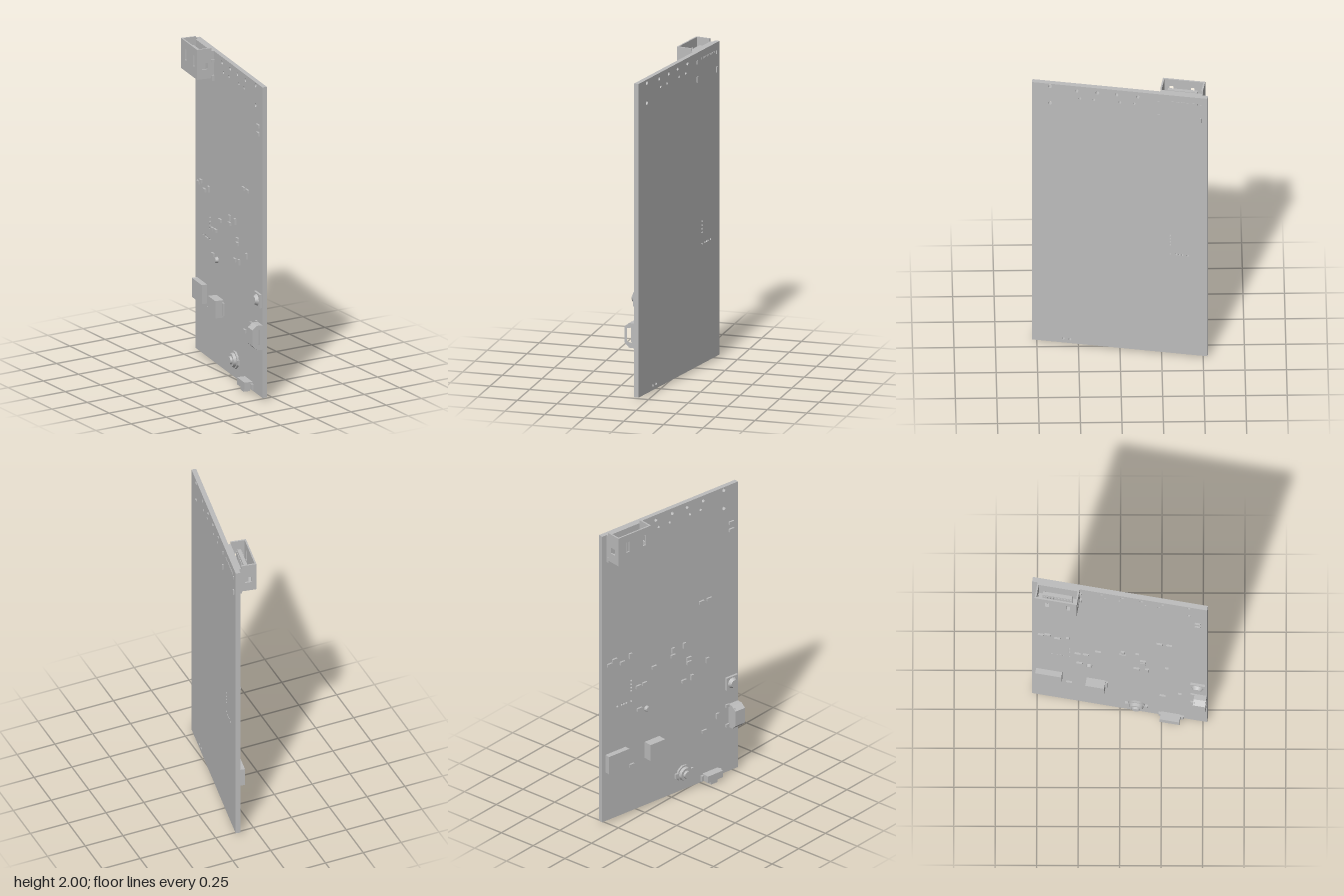
import * as THREE from 'three';

export function createModel() {
  const grey = new THREE.MeshStandardMaterial({ color: 0xbdbdbd });
  grey.name = 'plain grey';
  const model = new THREE.Group();
  model.name = 'circuitBoardAssembly';
  // Everything is laid out in board space: x = thickness, z = width; the board then turns about y.
  const board = new THREE.Group();
  board.name = 'circuitBoard';
  board.rotation.y = -0.172;
  model.add(board);
  const BACK = 0.0085, FRONT = 0.038, EDGE = -0.54;

  const add = (name, geo, parent = board) => {
    const m = new THREE.Mesh(geo, grey);
    m.name = name;
    parent.add(m);
    return m;
  };
  const group = (name) => {
    const g = new THREE.Group();
    g.name = name;
    board.add(g);
    return g;
  };
  // Box given by its limits
  const box = (name, x0, x1, y0, y1, z0, z1, parent) =>
    add(name, new THREE.BoxGeometry(x1 - x0, y1 - y0, z1 - z0)
      .translate((x0 + x1) / 2, (y0 + y1) / 2, (z0 + z1) / 2), parent);
  const ring = (z, y, r) => {
    const p = new THREE.Path();
    p.absarc(-z, y, r, 0, Math.PI * 2, true);
    return p;
  };
  const rect = (z0, z1, y0, y1, Kind = THREE.Path) =>
    new Kind([[-z1, y0], [-z0, y0], [-z0, y1], [-z1, y1]].map((p) => new THREE.Vector2(...p)));
  // Upright plate parallel to the board
  const plate = (shape, x0, x1) =>
    new THREE.ExtrudeGeometry(shape, { depth: x1 - x0, bevelEnabled: false, curveSegments: 6 })
      .rotateY(Math.PI / 2).translate(x0, 0, 0);
  // Cylinder standing out from the component side
  const stud = (name, z, y, r0, r1, x0, x1, sides, parent) =>
    add(name, new THREE.CylinderGeometry(r1, r0, x1 - x0, sides).toNonIndexed()
      .rotateZ(Math.PI / 2).translate(-(x0 + x1) / 2 + BACK, y, z), parent);

  // Board with drilled holes
  const outline = rect(EDGE, 0.5315, 0.015, 1.98, THREE.Shape);
  const drill = (zs, y, r) => zs.forEach((z) => outline.holes.push(ring((z - 0.0065) / 0.985, y, r)));
  drill([0.42], 1.96, 0.013);
  drill([0.42], 1.835, 0.013);
  drill([0.26, 0.135, 0.02, -0.108], 1.945, 0.012);
  drill([0.24, 0.157, 0, -0.086], 1.89, 0.009);
  drill([0.34, 0.3], 0.045, 0.009);
  for (const y of [0.91, 0.885, 0.862, 0.84]) drill([-0.3], y, 0.007);
  drill([-0.3, -0.337, -0.356, -0.374, -0.407], 0.77, 0.007);
  add('board', plate(outline, BACK, FRONT));

  // Open-topped socket at the top edge
  const socket = group('edgeSocket');
  const z0 = -0.505, z1 = -0.247, xo = -0.101, y0 = 1.81, y1 = 2;
  const outer = rect(z0, z1, y0, y1, THREE.Shape);
  for (const z of [-0.43, -0.3]) outer.holes.push(rect(z - 0.012, z + 0.012, 1.88, 1.95));
  add('socketOuterWall', plate(outer, xo, xo + 0.01), socket);
  box('socketInnerWall', -0.006, BACK, y0, 1.98, z0, z1, socket);
  for (const [a, b] of [[z0, z0 + 0.01], [z1 - 0.01, z1]]) {
    box('socketEndWallLower', xo + 0.01, -0.006, y0, 1.87, a, b, socket);
    box('socketEndWallUpper', xo + 0.01, -0.006, 1.91, y1, a, b, socket);
    box('socketEndPost', xo + 0.01, -0.07, 1.87, 1.91, a, b, socket);
    box('socketEndPost', -0.03, -0.006, 1.87, 1.91, a, b, socket);
  }
  box('socketFloor', xo + 0.01, -0.006, y0, 1.84, z0 + 0.01, z1 - 0.01, socket);
  box('socketTongue', -0.058, -0.036, 1.84, 1.96, -0.465, -0.285, socket);
  for (let i = 0; i < 10; i++) {
    const z = -0.458 + i * 0.018;
    for (const x of [-0.064, -0.036])
      box('socketContact', x, x + 0.006, 1.84, 1.95, z, z + 0.009, socket);
    box('socketPin', FRONT - 0.005, FRONT + 0.003, 1.924, 1.934, z - 0.02, z - 0.008, socket);
  }
  for (const z of [-0.5, -0.242]) {
    box('socketAnchor', -0.01, 0.046, 1.795, 1.83, z - 0.006, z + 0.006, socket);
    box('socketAnchor', -0.01, 0.044, 1.91, 1.93, z - 0.005, z + 0.005, socket);
  }

  // Small surface parts: [distance from the edge, height, upright]
  const chips = [
    [1.015, 1.72, 0], [1.015, 1.67, 0], [0.78, 1.255, 0], [0.84, 1.256, 0], [0.645, 1.006, 1],
    [0.555, 1.003, 1], [0.555, 0.965, 0], [0.68, 0.904, 0], [0.68, 0.875, 0], [0.825, 0.84, 1],
    [0.22, 1.085, 1], [0.095, 1.1, 0], [0.055, 1.08, 0], [0.155, 1.06, 0], [0.405, 0.941, 0],
    [0.705, 0.766, 1], [0.64, 0.762, 0], [0.28, 0.851, 0], [0.33, 0.855, 0], [0.29, 0.693, 0],
    [0.905, 0.429, 1], [0.8, 0.36, 0], [0.228, 0.33, 0],
  ];
  for (const [u, y, up] of chips) {
    const w = up ? 0.011 : 0.018, h = up ? 0.018 : 0.01, z = EDGE + u;
    box('chip', BACK - 0.012, BACK, y - h, y + h, z - w, z + w);
  }
  stud('roundChip', EDGE + 0.35, 0.675, 0.02, 0.016, 0, 0.018, 10);

  // Square relay and flat module near the bottom
  box('relay', BACK - 0.055, BACK, 0.34, 0.45, -0.205, -0.09);
  box('relayFoot', BACK - 0.012, BACK, 0.355, 0.435, -0.09, -0.075);
  box('flatModule', BACK - 0.035, BACK, 0.35, 0.47, -0.515, -0.355);

  // Round encoder
  const encoder = group('roundEncoder');
  stud('encoderBase', 0.1, 0.13, 0.056, 0.056, 0, 0.012, 10, encoder);
  stud('encoderBody', 0.1, 0.13, 0.046, 0.042, 0.012, 0.03, 10, encoder);
  stud('encoderCap', 0.1, 0.13, 0.026, 0.022, 0.03, 0.042, 10, encoder);
  for (const s of [-1, 1])
    box('encoderLug', BACK - 0.014, BACK, 0.115, 0.145, 0.1 + s * 0.06 - 0.01, 0.1 + s * 0.06 + 0.01, encoder);

  // Port at the bottom edge with a lip hanging below the board
  const port = group('bottomPort');
  box('portShell', BACK - 0.052, BACK, 0.025, 0.07, 0.25, 0.37, port);
  box('portLip', BACK - 0.042, BACK, 0, 0.025, 0.282, 0.332, port);
  box('portFoot', BACK - 0.014, BACK, 0.025, 0.06, 0.235, 0.39, port);

  // Side button
  const button = group('sideButton');
  box('buttonBase', BACK - 0.015, BACK, 0.58, 0.665, 0.43, 0.52, button);
  stud('buttonCap', 0.475, 0.622, 0.036, 0.024, 0.015, 0.034, 12, button);

  // Side jack with chamfered housing
  const jack = group('sideJack');
  const profile = new THREE.Shape([[0, 0.32], [0.035, 0.32], [0.066, 0.35], [0.066, 0.45],
    [0.035, 0.475], [0, 0.475]].map(([p, y]) => new THREE.Vector2(BACK - p, y)));
  profile.holes.push(new THREE.Path([[0.014, 0.35], [0.05, 0.36], [0.05, 0.44], [0.014, 0.45]]
    .map(([p, y]) => new THREE.Vector2(BACK - p, y))));
  add('jackHousing', new THREE.ExtrudeGeometry(profile, { depth: 0.075, bevelEnabled: false })
    .translate(0, 0, 0.455), jack);
  box('jackBackPlate', BACK - 0.055, BACK, 0.335, 0.465, 0.458, 0.466, jack);
  for (const y of [0.325, 0.46]) box('jackFoot', BACK - 0.01, BACK, y, y + 0.02, 0.43, 0.455, jack);

  return model;
}
